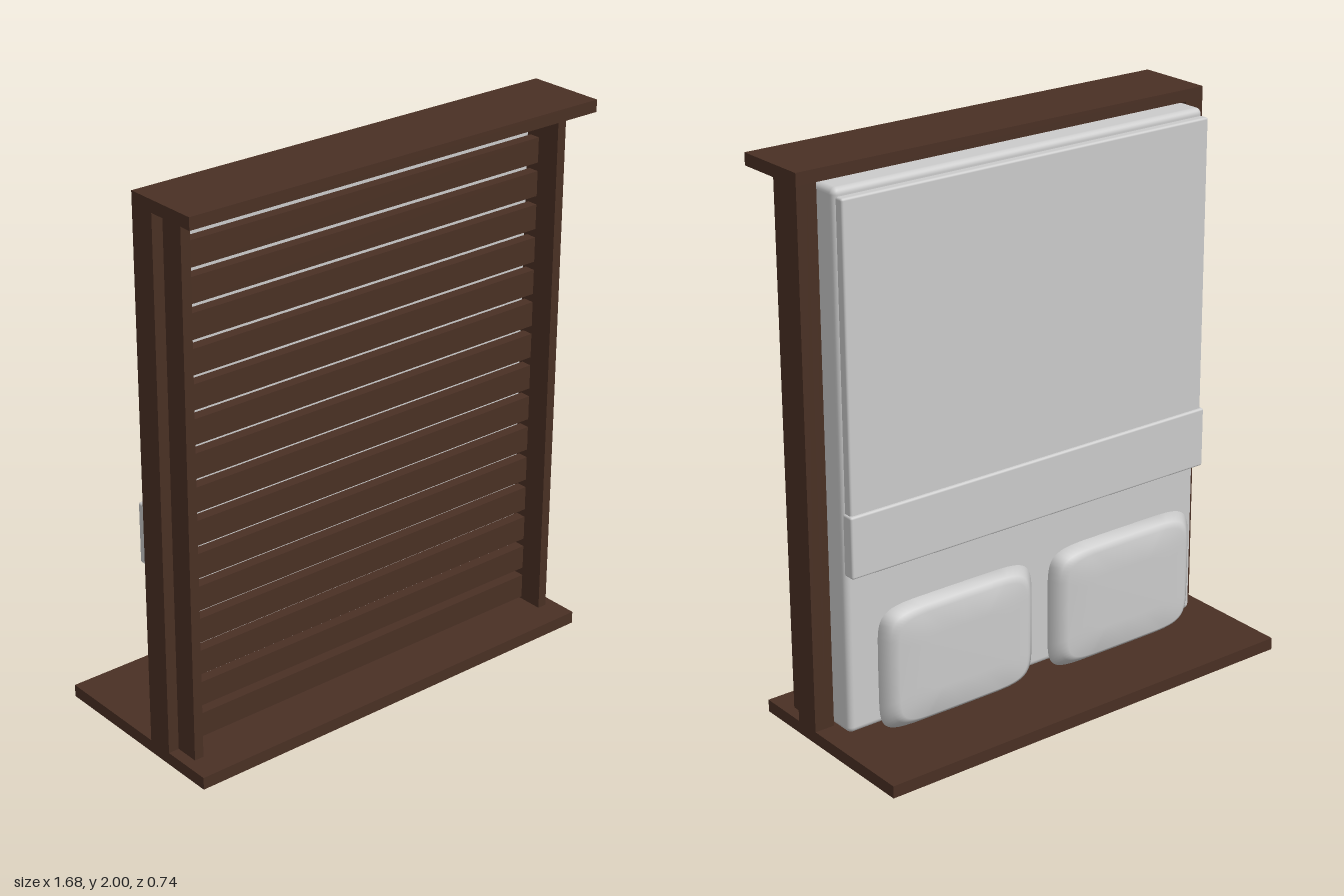
import * as THREE from 'three';
import { mergeVertices } from 'three/addons/utils/BufferGeometryUtils.js';
import { RoundedBoxGeometry } from 'three/addons/geometries/RoundedBoxGeometry.js';

const wood = new THREE.MeshStandardMaterial({ color: 0x4a3024 });
const fabric = new THREE.MeshStandardMaterial({ color: 0xcccccc });

// Box given by its limits on each axis; a radius rounds its edges.
function block(name, material, [x0, x1], [y0, y1], [z0, z1], radius = 0) {
  const size = [x1 - x0, y1 - y0, z1 - z0];
  const geometry = radius
    ? new RoundedBoxGeometry(...size, 3, radius)
    : new THREE.BoxGeometry(...size);
  const mesh = new THREE.Mesh(geometry, material);
  mesh.name = name;
  mesh.position.set((x0 + x1) / 2, (y0 + y1) / 2, (z0 + z1) / 2);
  return mesh;
}

// Cushion: a lathed lens whose round outline is squared into a soft rectangle.
function pillowGeometry(width, height, depth) {
  const profile = [[0, -1], [0.45, -1], [0.83, -0.96], [0.9, -0.6], [1, 0], [0.9, 0.6], [0.83, 0.96], [0.45, 1], [0, 1]]
    .map(([r, h]) => new THREE.Vector2(r, h * depth / 2));
  let geometry = new THREE.LatheGeometry(profile, 48);
  geometry.rotateX(Math.PI / 2);
  const p = geometry.attributes.position;
  const square = (v) => Math.sign(v) * Math.pow(Math.abs(v), 0.3);
  for (let i = 0; i < p.count; i++) {
    const x = p.getX(i), y = p.getY(i), r = Math.hypot(x, y);
    if (r < 1e-6) continue;
    p.setXY(i, square(x / r) * r * width / 2, square(y / r) * r * height / 2);
  }
  geometry.deleteAttribute('uv');
  geometry.deleteAttribute('normal');
  geometry = mergeVertices(geometry, 1e-5);
  geometry.computeVertexNormals();
  return geometry;
}

export function createModel() {
  const bed = new THREE.Group();
  bed.name = 'uprightBed';

  // End boards
  bed.add(block('headboard', wood, [-0.84, 0.84], [0, 0.045], [-0.37, 0.37]));
  bed.add(block('footboard', wood, [-0.84, 0.84], [1.957, 2], [0.08, 0.37]));

  // Side rails with a recessed inner rail on each side
  for (const s of [-1, 1]) {
    const span = (a, b) => [Math.min(s * a, s * b), Math.max(s * a, s * b)];
    bed.add(block('sideRail', wood, span(0.8, 0.84), [0.045, 1.957], [0.08, 0.18]));
    bed.add(block('innerRail', wood, span(0.765, 0.8), [0.045, 1.957], [0.08, 0.27]));
  }

  // Slats
  const slats = new THREE.Group();
  slats.name = 'slats';
  for (let i = 0; i < 16; i++) {
    const y = 0.0985 + i * 0.1207;
    slats.add(block('slat', wood, [-0.765, 0.765], [y - 0.045, y + 0.045], [0.14, 0.18]));
  }
  bed.add(slats);

  // Mattress and bedding
  bed.add(block('mattress', fabric, [-0.764, 0.764], [0.047, 1.955], [-0.01, 0.14], 0.022));
  bed.add(block('blanket', fabric, [-0.757, 0.757], [0.65, 1.93], [-0.045, -0.008], 0.008));
  bed.add(block('blanketFold', fabric, [-0.764, 0.764], [0.64, 0.862], [-0.056, -0.008], 0.008));

  // Pillows
  const pillow = pillowGeometry(0.65, 0.468, 0.1);
  for (const s of [-1, 1]) {
    const mesh = new THREE.Mesh(pillow, fabric);
    mesh.name = 'pillow';
    mesh.position.set(s * 0.36, 0.281, -0.075);
    bed.add(mesh);
  }
  return bed;
}
